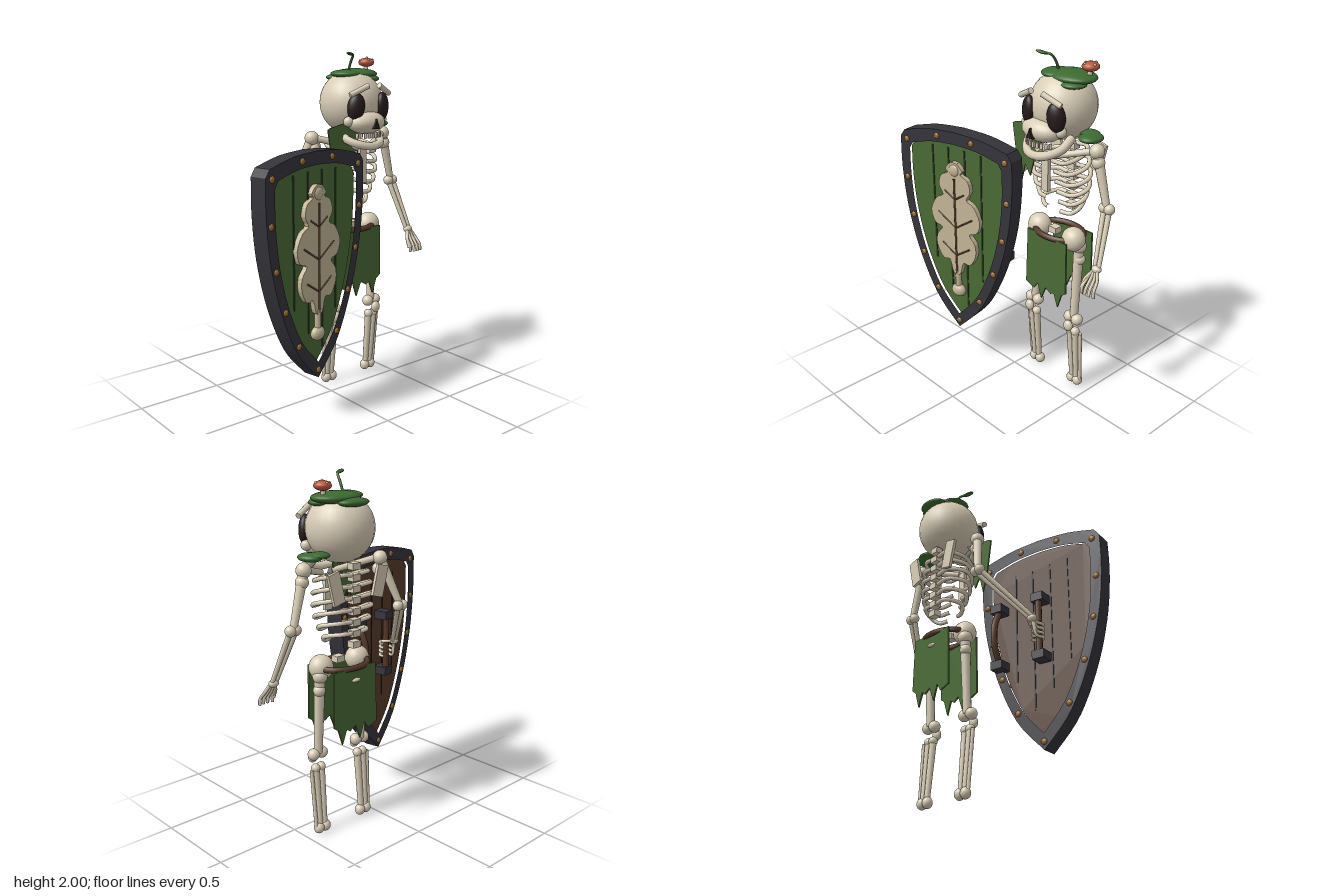
import * as THREE from 'three';

const mat = (name, color, side = THREE.FrontSide) => {
  const m = new THREE.MeshStandardMaterial({ color, side });
  m.name = name;
  return m;
};
const V = (x, y, z) => new THREE.Vector3(x, y, z);
const CX = 0.238; // body centre line

export function createModel() {
  const bone = mat('bone', 0xd8cdb6), cloth = mat('cloth green', 0x4a6a35), moss = mat('moss green', 0x3d6a31);
  const groove = mat('groove', 0x2a3a1f), iron = mat('dark iron', 0x35343b), brass = mat('brass', 0x96692f);
  const wood = mat('brown wood', 0x553a29), dark = mat('socket', 0x251b1c), red = mat('mushroom red', 0xbb5a3c);
  const tan = mat('leaf tan', 0xc3b697);
  const root = new THREE.Group();
  root.name = 'skeletonWarrior';
  const group = (name, parent = root) => {
    const g = new THREE.Group();
    g.name = name;
    parent.add(g);
    return g;
  };
  const add = (parent, name, geo, m, p = [0, 0, 0], r = [0, 0, 0]) => {
    const o = new THREE.Mesh(geo, m);
    o.name = name;
    o.position.set(...p);
    o.rotation.set(...r);
    parent.add(o);
    return o;
  };
  const blob = (parent, name, m, p, s, r) => {
    const o = add(parent, name, new THREE.SphereGeometry(1, 24, 16), m, p, r);
    typeof s === 'number' ? o.scale.setScalar(s) : o.scale.set(...s);
    return o;
  };
  const box = (parent, name, m, s, p, r) => add(parent, name, new THREE.BoxGeometry(...s), m, p, r);
  const rod = (parent, name, m, a, b, r1, r2 = r1) => {
    const A = V(...a), B = V(...b), d = B.clone().sub(A);
    const o = add(parent, name, new THREE.CylinderGeometry(r2, r1, d.length(), 12), m);
    o.position.copy(A).addScaledVector(d, 0.5);
    o.quaternion.setFromUnitVectors(V(0, 1, 0), d.normalize());
    return o;
  };
  const tube = (parent, name, m, pts, r, closed = false) =>
    add(parent, name, new THREE.TubeGeometry(new THREE.CatmullRomCurve3(pts.map(p => V(...p)), closed), 28, r, 8, closed), m);
  const extrude = (shape, depth) => new THREE.ExtrudeGeometry(shape, { depth, bevelEnabled: false, curveSegments: 16 });
  const poly = pts => new THREE.Shape(pts.map(p => new THREE.Vector2(...p)));

  // Skull
  const head = group('head');
  blob(head, 'cranium', bone, [0.246, 1.71, -0.122], 0.185);
  blob(head, 'upperJaw', bone, [0.235, 1.605, 0.025], [0.125, 0.065, 0.085]);
  for (const s of [-1, 1]) {
    blob(head, 'eyeSocket', dark, [0.248 + s * 0.1, 1.695, 0.038], [0.05, 0.08, 0.034], [0, s * 0.5, s * 0.12]);
    blob(head, 'cheekbone', bone, [0.238 + s * 0.125, 1.615, 0.015], 0.03);
    rod(head, 'brow', bone, [0.245 + s * 0.04, 1.815, 0.078], [0.243 + s * 0.145, 1.765, 0.045], 0.016);
  }
  add(head, 'noseHole', extrude(poly([[-0.022, -0.025], [0.022, -0.025], [0, 0.03]]), 0.03), dark, [0.236, 1.6, 0.09]);
  for (let i = 0; i < 9; i++) {
    const a = (i - 4) * 0.24;
    box(head, 'tooth', bone, [0.015, 0.03, 0.014], [0.235 + Math.sin(a) * 0.105, 1.535, 0.085 * Math.cos(a)], [0, a, 0]);
  }
  tube(head, 'lowerJaw', bone, [[0.1, 1.57, -0.07], [0.11, 1.515, 0], [0.165, 1.485, 0.065], [0.235, 1.475, 0.085],
    [0.305, 1.485, 0.065], [0.355, 1.515, 0], [0.365, 1.57, -0.07]], 0.024);

  // Moss, sprout and mushroom on the skull
  const growth = group('headGrowth');
  for (const [x, y, z, a, b, c] of [[0.29, 1.87, -0.14, 0.145, 0.034, 0.11], [0.26, 1.85, -0.24, 0.095, 0.024, 0.06],
    [0.2, 1.875, -0.12, 0.085, 0.024, 0.09], [0.34, 1.845, -0.09, 0.075, 0.022, 0.07]])
    blob(growth, 'mossCushion', moss, [x, y, z], [a, b, c], [0, 0, 0]);
  tube(growth, 'sproutStem', moss, [[0.215, 1.88, -0.115], [0.215, 1.94, -0.09], [0.207, 1.978, -0.062], [0.18, 1.985, -0.045]], 0.007);
  blob(growth, 'sproutLeaf', moss, [0.165, 1.988, -0.035], [0.034, 0.008, 0.017], [0, 0.4, -0.2]);
  rod(growth, 'mushroomStem', bone, [0.385, 1.85, -0.155], [0.394, 1.93, -0.158], 0.016, 0.012);
  blob(growth, 'mushroomCap', red, [0.394, 1.935, -0.158], [0.047, 0.026, 0.047]);
  for (const [a, e] of [[0.3, 0.6], [1.9, 0.7], [3.3, 0.5], [4.8, 0.65], [0, 1.5]])
    blob(growth, 'mushroomSpot', bone, [0.394 + 0.047 * Math.cos(e) * Math.cos(a), 1.935 + 0.026 * Math.sin(e),
      -0.158 + 0.047 * Math.cos(e) * Math.sin(a)], 0.007);

  // Ribcage, spine and shoulder girdle
  const torso = group('torso');
  for (let i = 0; i < 6; i++) {
    const y = 1.46 - i * 0.063, w = [0.15, 0.175, 0.19, 0.185, 0.165, 0.135][i], zf = -0.01 - i * 0.014;
    for (const s of [-1, 1])
      tube(torso, 'rib', bone, [[CX + s * 0.02, y + 0.015, -0.225], [CX + s * w * 0.65, y + 0.02, -0.22], [CX + s * w, y, -0.13],
        [CX + s * w * 0.75, y - 0.03, zf - 0.02], [CX + s * 0.045, y - 0.028, zf]], 0.0125);
  }
  for (let i = 0; i < 8; i++) box(torso, 'vertebra', bone, [0.055, 0.036, 0.045], [CX, 1.1 + i * 0.06, -0.22]);
  box(torso, 'lowVertebra', bone, [0.055, 0.036, 0.05], [CX, 0.99, -0.09]);
  box(torso, 'sternum', bone, [0.048, 0.2, 0.022], [CX, 1.35, -0.008]);
  for (const s of [-1, 1]) {
    box(torso, 'shoulderBlade', bone, [0.075, 0.17, 0.018], [CX + s * 0.155, 1.425, -0.252], [0, 0, -s * 0.25]);
    rod(torso, 'collarbone', bone, [CX + s * 0.04, 1.46, 0], [CX + s * 0.26, 1.52, -0.12], 0.017, 0.02);
  }

  // Pelvis, belt and ragged tabards
  const hips = group('hips');
  for (const s of [-1, 1]) blob(hips, 'hipBone', bone, [CX + s * 0.132, 0.97, -0.1], [0.07, 0.07, 0.065]);
  blob(hips, 'sacrum', bone, [CX, 0.9, -0.228], [0.034, 0.014, 0.02]);
  tube(hips, 'belt', wood, Array.from({ length: 12 }, (_, i) => {
    const a = i * Math.PI / 6;
    return [CX + 0.155 * Math.cos(a), 0.97, -0.125 + 0.112 * Math.sin(a)];
  }), 0.017, true);
  const rag = poly([[-0.145, 0.97], [0.155, 0.97], [0.16, 0.66], [0.13, 0.64], [0.1, 0.55], [0.07, 0.63], [0.045, 0.615],
    [0.005, 0.64], [-0.03, 0.555], [-0.06, 0.645], [-0.09, 0.6], [-0.155, 0.625]]);
  for (const z of [-0.025, -0.236]) add(hips, 'tabard', extrude(rag, 0.01), cloth, [CX, 0, z]);

  // Legs
  for (const s of [-1, 1]) {
    const leg = group(s > 0 ? 'leftLeg' : 'rightLeg'), x = CX + s * 0.158;
    blob(leg, 'femurHead', bone, [x, 0.93, -0.12], 0.042);
    blob(leg, 'trochanter', bone, [x + s * 0.006, 0.85, -0.12], 0.034);
    rod(leg, 'femur', bone, [x, 0.94, -0.12], [x, 0.48, -0.097], 0.031, 0.024);
    for (const d of [-0.029, 0.029]) {
      blob(leg, 'kneeKnuckle', bone, [x + d, 0.475, -0.092], 0.034);
      blob(leg, 'ankle', bone, [x + d * 0.8, 0.036, -0.122], [0.03, 0.033, 0.03]);
    }
    blob(leg, 'kneecap', bone, [x, 0.44, -0.05], [0.03, 0.034, 0.022]);
    for (const d of [-0.022, 0.018]) {
      blob(leg, 'shinTop', bone, [x + d, 0.39, -0.093], 0.026);
      rod(leg, 'shin', bone, [x + d, 0.39, -0.093], [x + d * 0.8, 0.04, -0.122], 0.021, 0.017);
    }
    rod(leg, 'fibula', bone, [x + s * 0.052, 0.385, -0.1], [x + s * 0.042, 0.04, -0.122], 0.011);
  }

  // Arms with paired forearm bones
  const arm = (name, sh, el, wr) => {
    const g = group(name);
    blob(g, 'shoulderJoint', bone, sh, 0.041);
    blob(g, 'shoulderKnob', bone, [sh[0] + 0.012, sh[1] - 0.06, sh[2]], 0.036);
    rod(g, 'humerus', bone, sh, el, 0.029, 0.02);
    for (const d of [-0.018, 0.018]) {
      blob(g, 'elbow', bone, [el[0] + d, el[1], el[2]], 0.03);
      rod(g, 'forearm', bone, [el[0] + d, el[1], el[2]], [wr[0] + d * 0.7, wr[1], wr[2]], 0.016, 0.012);
    }
    blob(g, 'wrist', bone, wr, [0.03, 0.022, 0.024]);
    return g;
  };
  const left = arm('leftArm', [0.495, 1.515, -0.12], [0.575, 1.215, -0.125], [0.622, 0.915, -0.01]);
  for (let i = 0; i < 4; i++) {
    const d = i - 1.5;
    tube(left, 'finger', bone, [[0.622 + d * 0.01, 0.91, 0], [0.624 + d * 0.022, 0.865, 0.022],
      [0.625 + d * 0.027, 0.82, 0.055], [0.625 + d * 0.028, 0.785, 0.07 - Math.abs(d) * 0.008]], 0.009);
  }
  tube(left, 'thumb', bone, [[0.61, 0.905, 0], [0.582, 0.86, 0.03], [0.578, 0.81, 0.055]], 0.01);
  const right = arm('rightArm', [-0.035, 1.52, -0.135], [-0.122, 1.25, -0.21], [-0.315, 0.96, 0.02]);
  for (let i = 0; i < 4; i++) {
    const y = 0.94 - i * 0.026;
    tube(right, 'grippingFinger', bone, [[-0.315, 0.955, 0.02], [-0.325, y, 0.045], [-0.33, y, 0.09],
      [-0.295, y, 0.112], [-0.265, y, 0.085], [-0.268, y, 0.055]], 0.009);
  }
  tube(right, 'thumb', bone, [[-0.31, 0.955, 0.02], [-0.28, 0.96, 0.035], [-0.255, 0.955, 0.07]], 0.01);

  // Shoulder moss and the torn cape scrap
  blob(root, 'shoulderMoss', moss, [0.45, 1.577, -0.12], [0.062, 0.024, 0.072]);
  blob(root, 'shoulderMoss', moss, [0.415, 1.585, -0.15], [0.06, 0.02, 0.05]);
  add(root, 'capeScrap', extrude(poly([[0, 1.585], [0.1, 1.605], [0.2, 1.6], [0.2, 1.43], [0.15, 1.41], [0.12, 1.3],
    [0.08, 1.36], [0.05, 1.25], [0.015, 1.36], [-0.02, 1.575]]), 0.008), cloth, [0, 0, -0.012]);

  // Shield
  const shield = group('shield');
  shield.position.set(-0.277, 0, 0.168);
  shield.rotation.y = 0.21;
  const side = new THREE.SplineCurve([[0.395, 1.41], [0.395, 1.2], [0.365, 0.95], [0.29, 0.68], [0.165, 0.42], [0, 0.24]]
    .map(p => new THREE.Vector2(...p))).getPoints(24);
  const top = new THREE.SplineCurve([[0, 1.505], [0.19, 1.492], [0.365, 1.452]].map(p => new THREE.Vector2(...p))).getPoints(8);
  const half = [...top, ...side];
  const loop = [...half, ...half.slice(1, -1).reverse().map(p => new THREE.Vector2(-p.x, p.y))];
  const outline = (kx, ky) => loop.map(p => new THREE.Vector2(p.x * kx, 0.95 + (p.y - 0.95) * ky));
  const rim = new THREE.Shape(outline(1, 1));
  rim.holes.push(new THREE.Path(outline(0.83, 0.87)));
  const inner = new THREE.Shape(outline(0.84, 0.88));
  add(shield, 'shieldRim', extrude(rim, 0.1), iron, [0, 0, -0.05]);
  add(shield, 'shieldBack', extrude(inner, 0.05), wood, [0, 0, -0.03]);
  add(shield, 'shieldFace', extrude(inner, 0.009), cloth, [0, 0, 0.02]);
  const rivetPath = new THREE.Path([...outline(0.915, 0.935), outline(0.915, 0.935)[0]]);
  rivetPath.getSpacedPoints(26).forEach((p, i) => {
    if (i % 2) for (const z of [-0.05, 0.05]) blob(shield, 'rivet', brass, [p.x, p.y, z], [0.018, 0.018, 0.011]);
  });
  for (const [x, yTop, yEnd] of [[-0.172, 1.395, 0.67], [-0.058, 1.4, 0.51], [0.058, 1.4, 0.4], [0.172, 1.395, 0.6]]) {
    const h = yTop - yEnd;
    box(shield, 'plankGroove', groove, [0.011, h, 0.006], [x, yEnd + h / 2, 0.03]);
    box(shield, 'backGroove', dark, [0.009, h * 0.85, 0.006], [x, yEnd + h / 2, -0.031]);
  }

  // Oak leaf emblem with veins
  const lobes = [[0.022, 1.325], [0.06, 1.285], [0.045, 1.262], [0.095, 1.235], [0.112, 1.17], [0.085, 1.115], [0.135, 1.085],
    [0.178, 1.0], [0.155, 0.925], [0.1, 0.9], [0.14, 0.845], [0.142, 0.77], [0.1, 0.7], [0.05, 0.7], [0.025, 0.62]];
  const leafCurve = new THREE.SplineCurve([...lobes, ...lobes.map(([x, y]) => [-x, y]).reverse(), lobes[0]]
    .map(p => new THREE.Vector2(...p)));
  add(shield, 'leafEmblem', extrude(new THREE.Shape(leafCurve.getPoints(90).slice(0, -1)), 0.032), tan, [0, 0, 0.026]);
  blob(shield, 'leafCap', tan, [0, 1.28, 0.055], [0.035, 0.035, 0.014]);
  rod(shield, 'leafStem', tan, [0, 0.64, 0.045], [0, 0.5, 0.045], 0.018);
  blob(shield, 'leafStemEnd', tan, [0, 0.5, 0.045], [0.048, 0.04, 0.032]);
  rod(shield, 'midrib', wood, [0, 1.23, 0.057], [0, 0.62, 0.057], 0.007);
  for (const s of [-1, 1])
    for (const [y, w] of [[1.1, 0.07], [0.92, 0.125], [0.74, 0.1]])
      rod(shield, 'vein', wood, [0, y, 0.057], [s * w, y + w * 0.65, 0.057], 0.005);

  // Grip and arm strap on the back of the shield
  for (const [x, bow, z] of [[-0.012, 0, -0.09], [0.262, 0.055, -0.075]]) {
    tube(shield, x < 0 ? 'grip' : 'armStrap', wood, [[x, 0.77, z], [x, 0.86, z - bow * 0.8], [x, 0.935, z - bow],
      [x, 1.01, z - bow * 0.8], [x, 1.1, z]], 0.019);
    for (const y of [0.76, 1.11]) box(shield, 'strapBracket', iron, [0.075, 0.05, 0.085], [x, y, -0.07]);
  }
  return root;
}
